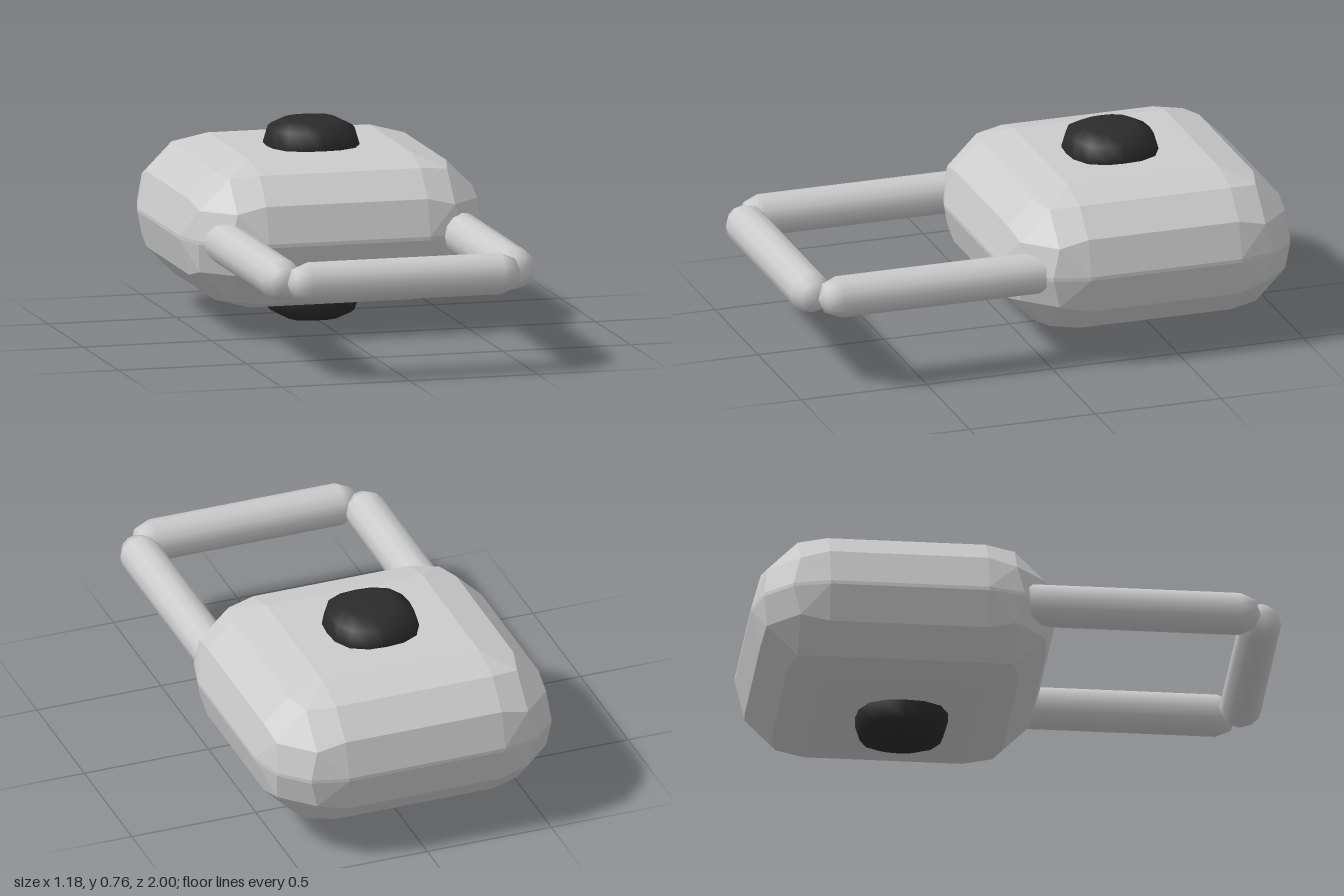
import * as THREE from 'three';
import { ConvexGeometry } from 'three/addons/geometries/ConvexGeometry.js';

const MID_Y = 0.378;

// Box with rounded edges of three facets each; every corner is one eighth of a faceted ball
function facetedBox(hx, hy, hz, r) {
  const c = Math.cos(Math.PI / 6), s = 0.5;
  const dirs = [[1, 0, 0], [0, 1, 0], [0, 0, 1]];
  for (let i = 0; i < 3; i++) {
    const j = (i + 1) % 3, inner = [0.4, 0.4, 0.4];
    for (const [a, b] of [[c, s], [s, c]]) {
      const d = [0, 0, 0];
      d[i] = a;
      d[j] = b;
      dirs.push(d);
    }
    inner[i] = 0.825;
    dirs.push(inner);
  }
  const points = [];
  for (const sx of [-1, 1]) for (const sy of [-1, 1]) for (const sz of [-1, 1]) {
    for (const [x, y, z] of dirs) {
      points.push(new THREE.Vector3(sx * (hx - r + r * x), sy * (hy - r + r * y), sz * (hz - r + r * z)));
    }
  }
  return new ConvexGeometry(points);
}

// Turned profile whose round section is swollen towards a soft square
function softSquarePeg(profile) {
  const geo = new THREE.LatheGeometry(profile.map(([x, y]) => new THREE.Vector2(x, y)), 16);
  const p = geo.attributes.position;
  for (let i = 0; i < p.count; i++) {
    const k = 1 + 0.09 * Math.sin(2 * Math.atan2(p.getZ(i), p.getX(i))) ** 2;
    p.setX(i, p.getX(i) * k);
    p.setZ(i, p.getZ(i) * k);
  }
  return geo;
}

export function createModel() {
  const model = new THREE.Group();
  const grey = new THREE.MeshStandardMaterial({ color: 0xcccccc });
  const greyFlat = new THREE.MeshStandardMaterial({ color: 0xcccccc, flatShading: true });
  const dark = new THREE.MeshStandardMaterial({ color: 0x2b2b2b });

  const add = (name, geo, mat, x, y, z) => {
    const mesh = new THREE.Mesh(geo, mat);
    mesh.name = name;
    mesh.position.set(x, y, z);
    model.add(mesh);
    return mesh;
  };

  // Chunky rounded body
  add('body', facetedBox(0.59, 0.282, 0.575, 0.275), greyFlat, 0, MID_Y, -0.425);

  // Dark peg passing through the body
  const peg = softSquarePeg([
    [0, 0], [0.1, 0], [0.158, 0.03], [0.175, 0.09],
    [0.175, 0.666], [0.158, 0.726], [0.1, 0.756], [0, 0.756],
  ]);
  add('peg', peg, dark, 0, 0, -0.4);

  // Loop handle: two side bars and a front bar with rounded ends
  for (const [side, sign] of [['left', 1], ['right', -1]]) {
    const bar = add(side + 'HandleBar', new THREE.CapsuleGeometry(0.08, 0.8, 2, 12), grey, sign * 0.455, MID_Y, 0.435);
    bar.rotation.x = Math.PI / 2;
  }
  const front = add('frontHandleBar', new THREE.CapsuleGeometry(0.08, 0.75, 2, 12), grey, 0, MID_Y, 0.92);
  front.rotation.z = Math.PI / 2;

  return model;
}
